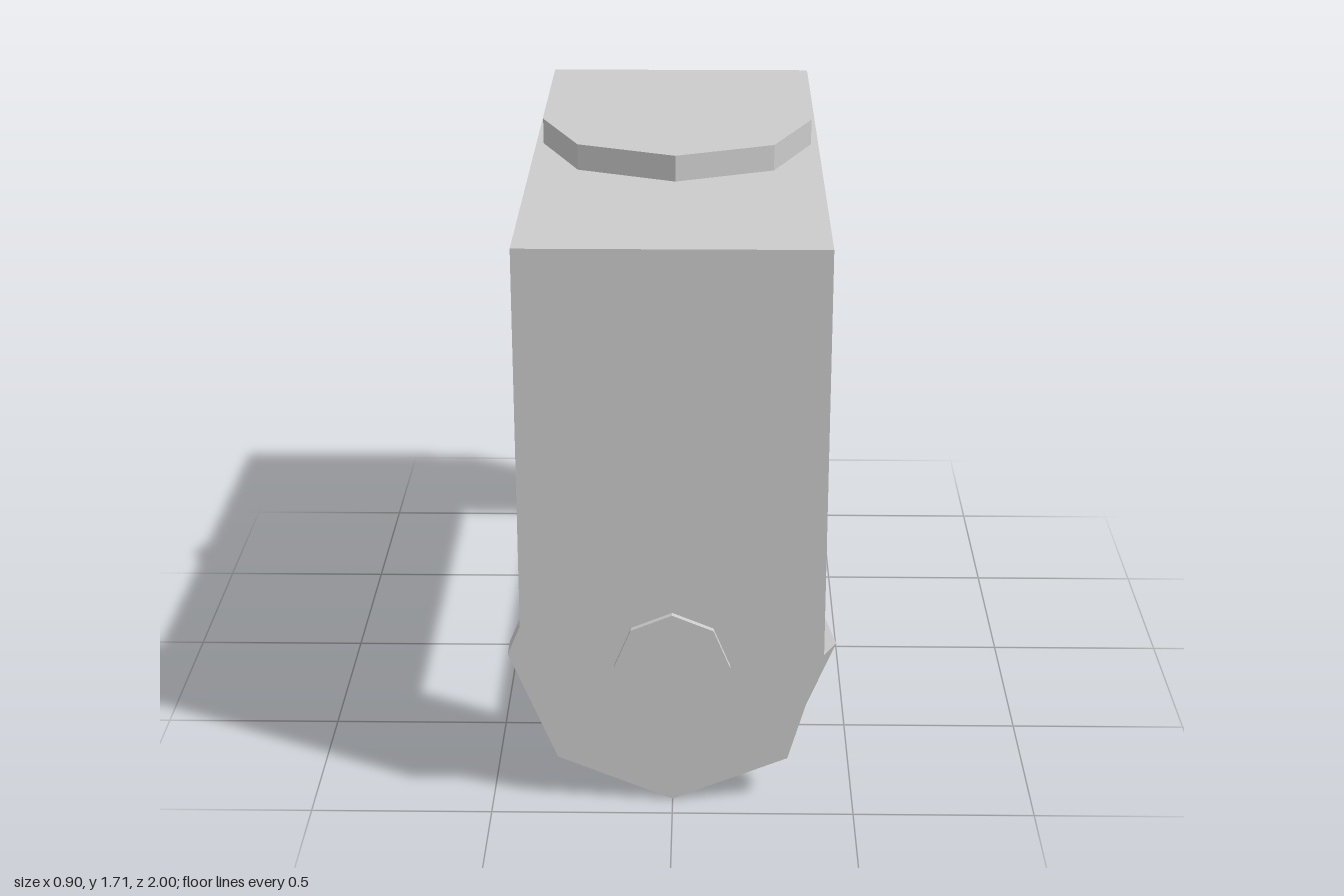
import * as THREE from 'three';

const material = new THREE.MeshStandardMaterial({ color: 0xcccccc, flatShading: true });

function part(name, geometry, x = 0, y = 0, z = 0) {
  const flat = geometry.index ? geometry.toNonIndexed() : geometry;
  flat.computeVertexNormals();
  const mesh = new THREE.Mesh(flat, material);
  mesh.name = name;
  mesh.position.set(x, y, z);
  return mesh;
}

// Octagonal prism lying along z
function prismAlongZ(radius, length) {
  return new THREE.CylinderGeometry(radius, radius, length, 8).rotateX(Math.PI / 2);
}

// Octagonal wheel whose +x corner is pulled in on the front face
function wheelGeometry() {
  const geometry = prismAlongZ(0.45, 0.077);
  const p = geometry.attributes.position;
  for (let i = 0; i < p.count; i++) {
    if (p.getX(i) > 0.44 && p.getZ(i) > 0) p.setX(i, 0.41);
  }
  return geometry;
}

// Upside-down U bracket: profile in (z, y), extruded across x
function bracketGeometry() {
  const profile = new THREE.Shape([
    [0.983, 0.45], [0.983, 1.632], [-0.902, 1.632], [-0.902, 0.45],
    [-0.846, 0.45], [-0.846, 1.585], [0.927, 1.585], [0.927, 0.45],
  ].map(([z, y]) => new THREE.Vector2(z, y)));
  return new THREE.ExtrudeGeometry(profile, { depth: 0.82, bevelEnabled: false })
    .rotateY(-Math.PI / 2)
    .translate(0.41, 0, 0);
}

export function createModel() {
  const group = new THREE.Group();
  group.name = 'casterBracket';
  const axleY = 0.452;

  group.add(part('bracket', bracketGeometry()));
  group.add(part('axle', prismAlongZ(0.157, 2), 0, axleY, 0));
  group.add(part('frontWheel', wheelGeometry(), 0, 0.45, 0.885));
  group.add(part('backWheel', wheelGeometry(), 0, 0.45, -0.942));

  // Round mounting plate on top
  group.add(part('topPlate', new THREE.CylinderGeometry(0.389, 0.389, 0.075, 8), 0, 1.668, -0.009));
  return group;
}
